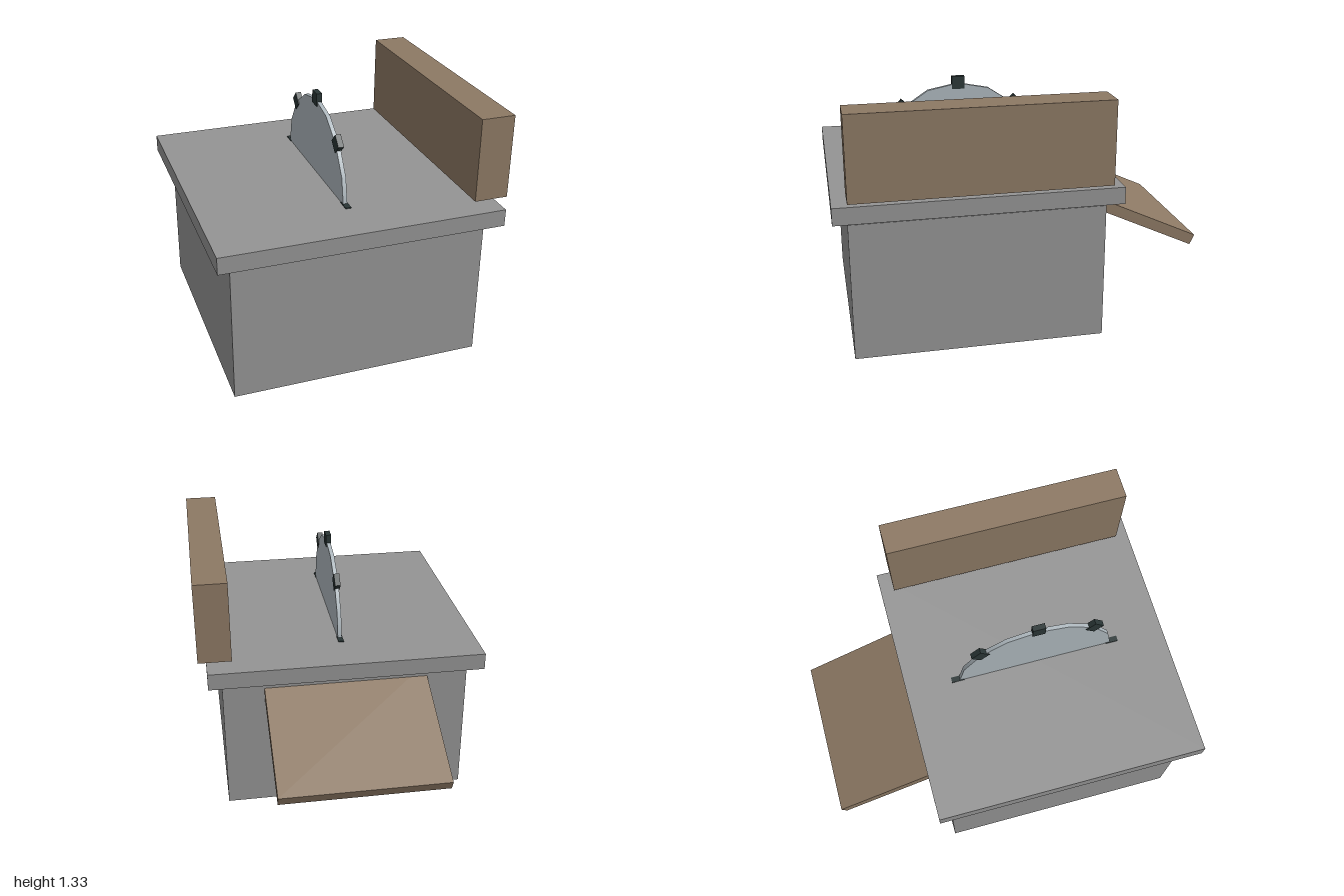
import * as THREE from 'three';

function material(name, color) {
  const m = new THREE.MeshStandardMaterial({ color });
  m.name = name;
  return m;
}

export function createModel() {
  const model = new THREE.Group();
  model.name = 'tableSaw';
  const grey = material('metalGrey', 0x949494);
  const wood = material('woodBrown', 0x8d7964);
  const steel = material('bladeSteel', 0xaeb8be);
  const dark = material('toothDark', 0x2a3636);

  // Box given by its minimum and maximum corners
  function block(name, mat, [x0, y0, z0], [x1, y1, z1]) {
    const mesh = new THREE.Mesh(new THREE.BoxGeometry(x1 - x0, y1 - y0, z1 - z0), mat);
    mesh.position.set((x0 + x1) / 2, (y0 + y1) / 2, (z0 + z1) / 2);
    mesh.name = name;
    model.add(mesh);
  }

  block('cabinet', grey, [-0.685, 0, -0.4], [0.64, 0.74, 0.925]);
  block('tabletop', grey, [-0.76, 0.77, -0.475], [0.713, 0.86, 1]);
  block('fence', wood, [0.58, 0.89, -0.4], [0.757, 1.33, 0.925]);

  // Sloping board at the back
  const chute = new THREE.Mesh(new THREE.BoxGeometry(0.883, 0.06, 0.738), wood);
  chute.name = 'chute';
  chute.position.set(-0.024, 0.563, -0.652);
  chute.rotation.x = -0.433;
  model.add(chute);

  // Round blade with eight block teeth, half sunk into the table
  const blade = new THREE.Group();
  blade.name = 'blade';
  blade.position.set(-0.023, 0.83, 0.26);
  model.add(blade);
  const disc = new THREE.Mesh(new THREE.CylinderGeometry(0.44, 0.44, 0.022, 16), steel);
  disc.name = 'bladeDisc';
  disc.rotation.z = Math.PI / 2;
  blade.add(disc);

  const toothGeometry = new THREE.BoxGeometry(0.03, 0.07, 0.07);
  for (let i = 0; i < 8; i++) {
    const a = (i * Math.PI) / 4;
    const tooth = new THREE.Mesh(toothGeometry, dark);
    tooth.name = 'tooth' + (i + 1);
    tooth.position.set(0, Math.cos(a) * 0.444, Math.sin(a) * 0.444);
    tooth.rotation.x = a;
    blade.add(tooth);
  }
  return model;
}
